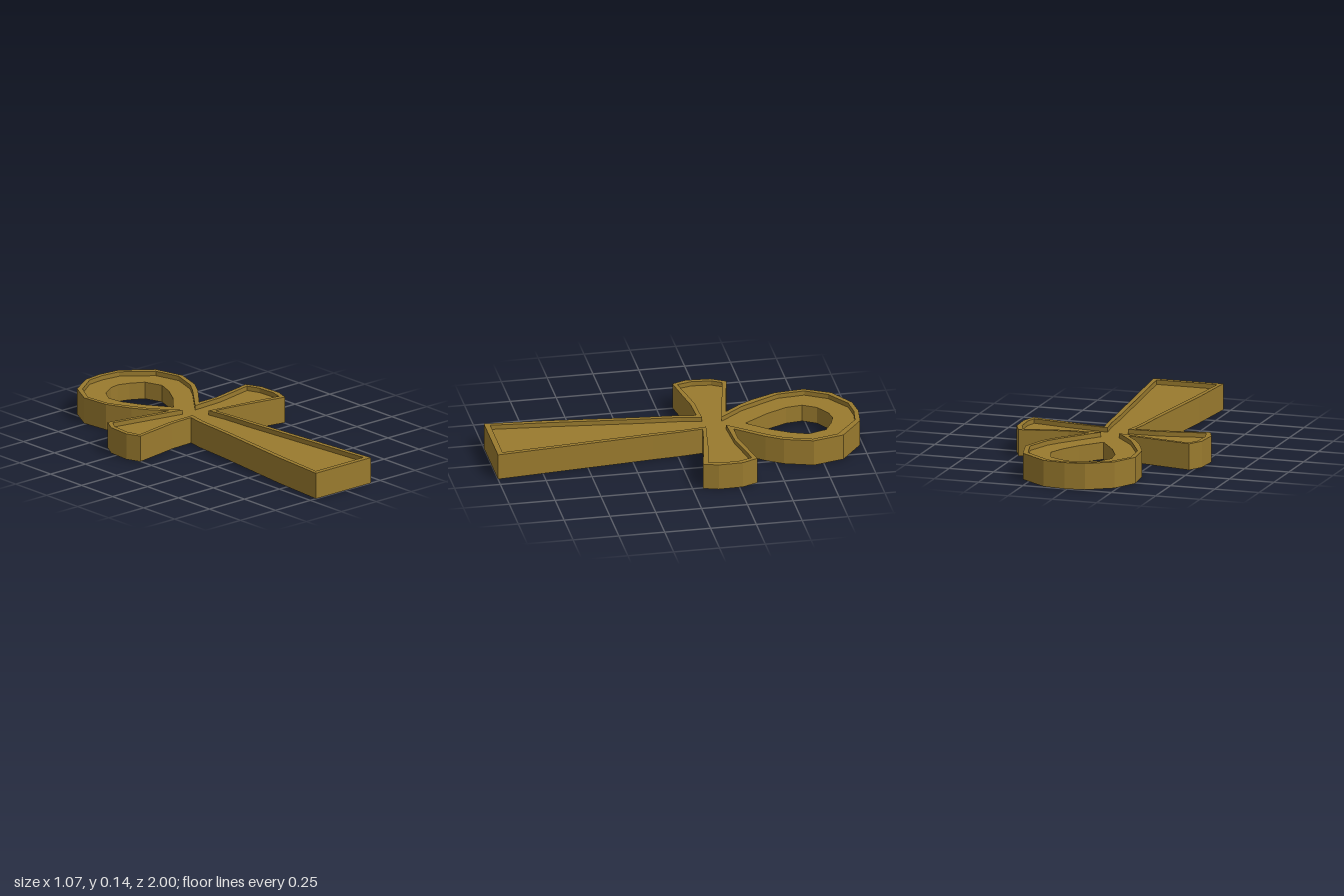
import * as THREE from 'three';

const HEIGHT = 0.144;
const RECESS = 0.025;

// Plan outlines as [x, z] corners
const outer = [
  // stem, left side
  [-0.21, 1], [-0.185, 0.665], [-0.13, 0.18], [-0.11, -0.05], [-0.095, -0.137],
  // right-hand arm of the model (-x)
  [-0.235, -0.131], [-0.34, -0.112], [-0.503, -0.086], [-0.534, -0.163], [-0.525, -0.297], [-0.48, -0.376], [-0.11, -0.301],
  // loop
  [-0.18, -0.386], [-0.23, -0.466], [-0.29, -0.602], [-0.305, -0.762], [-0.233, -0.9], [-0.095, -0.986], [0.015, -1],
  [0.138, -0.985], [0.296, -0.863], [0.338, -0.694], [0.29, -0.54], [0.233, -0.45], [0.11, -0.301],
  // left-hand arm of the model (+x)
  [0.228, -0.301], [0.492, -0.356], [0.53, -0.27], [0.534, -0.136], [0.508, -0.056], [0.2, -0.118], [0.08, -0.137],
  // stem, right side
  [0.095, -0.01], [0.106, 0.135], [0.184, 1],
];

const inner = [
  [-0.185, 0.97], [-0.155, 0.64], [-0.105, 0.18], [-0.085, -0.05], [-0.063, -0.161],
  [-0.235, -0.156], [-0.32, -0.142], [-0.487, -0.11], [-0.508, -0.19], [-0.498, -0.297], [-0.466, -0.35], [-0.045, -0.263],
  [-0.155, -0.396], [-0.2, -0.481], [-0.268, -0.614], [-0.28, -0.762], [-0.212, -0.879], [-0.085, -0.964], [0.015, -0.974],
  [0.122, -0.96], [0.275, -0.837], [0.312, -0.694], [0.265, -0.55], [0.212, -0.47], [0.053, -0.27],
  [0.243, -0.28], [0.476, -0.328], [0.503, -0.259], [0.508, -0.152], [0.492, -0.089], [0.328, -0.121], [0.053, -0.161],
  [0.069, -0.05], [0.08, 0.135], [0.156, 0.97],
];

const eye = [
  [0, -0.386], [-0.095, -0.524], [-0.148, -0.636], [-0.16, -0.726], [-0.116, -0.8], [-0.037, -0.847],
  [0.02, -0.858], [0.085, -0.837], [0.16, -0.795], [0.193, -0.694], [0.16, -0.604], [0.1, -0.503],
];

const toPoints = (outline) => outline.map(([x, z]) => new THREE.Vector2(x, -z));

// Upright-walled slab lying flat, from y = bottom to y = top
function slab(name, outline, hole, bottom, top, material) {
  const shape = new THREE.Shape(toPoints(outline));
  // The hole runs opposite to the outline so its walls face inwards
  shape.holes.push(new THREE.Path(toPoints(hole).reverse()));
  const geometry = new THREE.ExtrudeGeometry(shape, { depth: top - bottom, bevelEnabled: false });
  geometry.rotateX(-Math.PI / 2).translate(0, bottom, 0);
  const mesh = new THREE.Mesh(geometry, material);
  mesh.name = name;
  return mesh;
}

export function createModel() {
  const group = new THREE.Group();
  group.name = 'loopedCross';
  const gold = new THREE.MeshStandardMaterial({ color: 0x997a2e, flatShading: true });

  // Raised border around the outside
  group.add(slab('rim', outer, inner, 0, HEIGHT, gold));
  // Core sunk below the border on both faces, pierced by the loop's eye
  group.add(slab('recessedPanel', inner, eye, RECESS, HEIGHT - RECESS, gold));
  return group;
}
